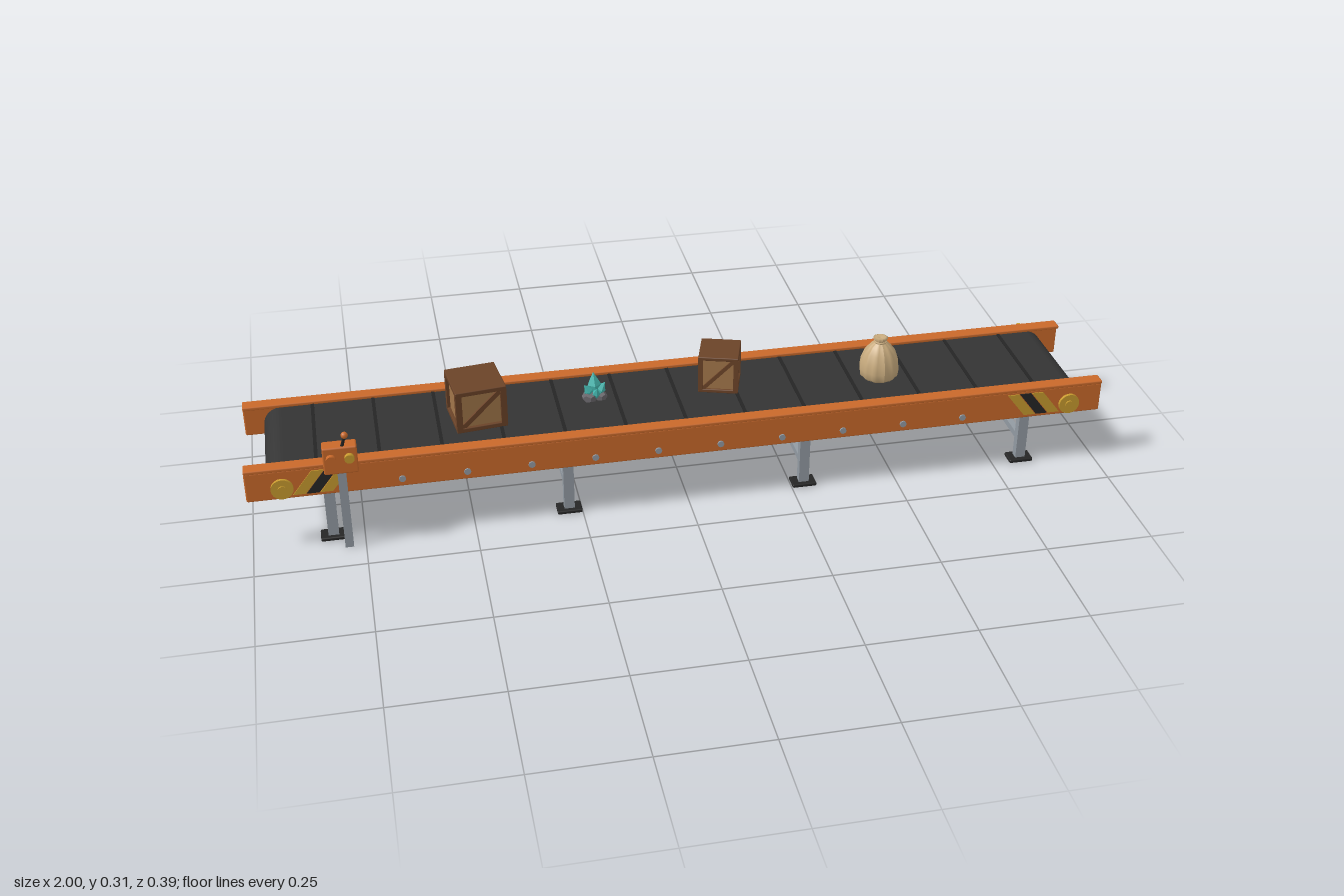
import * as THREE from 'three';
import { RoundedBoxGeometry } from 'three/addons/geometries/RoundedBoxGeometry.js';

const mat = (name, color, extra = {}) => Object.assign(new THREE.MeshStandardMaterial({ color, ...extra }), { name });

export function createModel() {
  const M = {
    orange: mat('orange paint', 0xc9692a),
    gold: mat('yellow metal', 0xc79a2e),
    belt: mat('belt rubber', 0x343434),
    black: mat('black rubber', 0x252525),
    steel: mat('steel', 0x929aa2),
    grey: mat('motor grey', 0x69666b),
    darkWood: mat('dark wood', 0x6b4328),
    wood: mat('light wood', 0xa07549),
    sack: mat('burlap', 0xc8ab7e),
    crystal: mat('teal crystal', 0x45b8b0),
  };
  const root = new THREE.Group();
  root.name = 'conveyor';

  const add = (parent, name, geo, m, x = 0, y = 0, z = 0) => {
    const mesh = new THREE.Mesh(geo, m);
    mesh.name = name;
    mesh.position.set(x, y, z);
    parent.add(mesh);
    return mesh;
  };
  const group = (name, x, y, z, ry = 0) => {
    const g = new THREE.Group();
    g.name = name;
    g.position.set(x, y, z);
    g.rotation.y = ry;
    root.add(g);
    return g;
  };
  const box = (w, h, d) => new THREE.BoxGeometry(w, h, d);
  const rbox = (w, h, d, r = 0.004) => new RoundedBoxGeometry(w, h, d, 1, r);
  const disc = (r, len, n = 20) => new THREE.CylinderGeometry(r, r, len, n).rotateX(Math.PI / 2);

  // Belt: a stadium outline pulled across the width
  const R = 0.042, end = 0.912, cy = 0.162;
  const outline = new THREE.Shape();
  outline.absarc(end, 0, R, -Math.PI / 2, Math.PI / 2);
  outline.absarc(-end, 0, R, Math.PI / 2, Math.PI * 1.5);
  outline.closePath();
  const beltGeo = new THREE.ExtrudeGeometry(outline, { depth: 0.252, bevelEnabled: false, curveSegments: 12 });
  add(root, 'belt', beltGeo.translate(0, 0, -0.126), M.belt, 0, cy, 0);
  for (let i = -6; i <= 6; i++) {
    add(root, 'beltSeam', box(0.008, 0.003, 0.25), M.black, i * 0.14, cy + R + 0.0005, 0);
  }

  // Side rails with flange, bearings, bolts and hazard stripes
  for (const s of [1, -1]) {
    add(root, 'railWeb', rbox(2, 0.074, 0.02), M.orange, 0, 0.168, s * 0.143);
    add(root, 'railFlange', rbox(2, 0.009, 0.032, 0.003), M.orange, 0, 0.2075, s * 0.139);
    for (let i = 0; i < 10; i++) {
      add(root, 'bolt', disc(0.008, 0.005, 8), M.steel, -0.656 + i * 0.1458, 0.152, s * 0.1545);
    }
    for (const e of [1, -1]) {
      add(root, 'bearing', disc(0.025, 0.031), M.gold, e * 0.92, 0.16, s * 0.1445);
      add(root, 'bearingCap', disc(0.01, 0.004, 12), M.gold, e * 0.92, 0.16, s * 0.161);
      [M.gold, M.black, M.gold].forEach((m, i) => {
        const x = 0.87 - i * 0.03, w = 0.028, lean = -0.045;
        const stripe = new THREE.Shape([[x, 0.14], [x + w, 0.14], [x + w + lean, 0.198], [x + lean, 0.198]]
          .map(([px, py]) => new THREE.Vector2(e * px, py)));
        add(root, 'hazardStripe', new THREE.ExtrudeGeometry(stripe, { depth: 0.003, bevelEnabled: false }),
          m, 0, 0, s * 0.1535 - 0.0015);
      });
    }
  }

  // Leg frames
  for (const x of [-0.82, -0.28, 0.28, 0.82]) {
    for (const s of [1, -1]) {
      add(root, 'leg', box(0.024, 0.14, 0.019), M.steel, x, 0.075, s * 0.128);
      add(root, 'foot', rbox(0.058, 0.009, 0.04, 0.003), M.black, x, 0.0055, s * 0.128);
    }
    add(root, 'crossBrace', box(0.014, 0.016, 0.24), M.steel, x, 0.058, 0);
  }

  // Control box on its post
  const control = group('controlStation', -0.787, 0, 0.169);
  add(control, 'post', box(0.019, 0.205, 0.018), M.steel, 0, 0.1025, 0);
  add(control, 'controlBox', rbox(0.076, 0.068, 0.034), M.orange, 0, 0.235, 0);
  add(control, 'leftButton', disc(0.011, 0.012, 12), M.gold, 0.02, 0.243, 0.021);
  add(control, 'rightButton', disc(0.011, 0.012, 12), M.orange, -0.02, 0.243, 0.021);
  const lever = add(control, 'lever', new THREE.CylinderGeometry(0.003, 0.004, 0.036, 8), M.black, 0.01, 0.281, 0.011);
  lever.rotation.set(0.18, 0, -0.25);
  add(control, 'leverKnob', new THREE.SphereGeometry(0.008, 12, 8), M.orange, 0.014, 0.298, 0.014);

  // Motor housing with vents
  const motor = group('motor', 0.76, 0.128, -0.171);
  add(motor, 'motorBox', rbox(0.185, 0.124, 0.04, 0.006), M.grey);
  for (let i = 0; i < 4; i++) {
    add(motor, 'vent', box(0.09, 0.007, 0.005), M.black, 0, 0.026 - i * 0.017, -0.021);
  }
  const coupling = add(motor, 'coupling', new THREE.CylinderGeometry(0.02, 0.02, 0.06, 10), M.grey, 0.085, 0, 0.018);
  coupling.rotation.z = Math.PI / 2;

  // Drive gear
  const teeth = 12, gearShape = new THREE.Shape();
  for (let i = 0; i < teeth; i++) {
    [[-0.3, 0.039], [-0.17, 0.05], [0.17, 0.05], [0.3, 0.039]].forEach(([t, r], k) => {
      const a = (i + t) / teeth * Math.PI * 2;
      gearShape[i + k ? 'lineTo' : 'moveTo'](r * Math.cos(a), r * Math.sin(a));
    });
  }
  gearShape.closePath();
  const gear = group('driveGear', 0.912, 0.154, -0.166);
  add(gear, 'gearWheel', new THREE.ExtrudeGeometry(gearShape, { depth: 0.012, bevelEnabled: false }).translate(0, 0, -0.006), M.gold);
  add(gear, 'gearHub', disc(0.015, 0.02, 16), M.gold);
  add(gear, 'gearShaft', disc(0.008, 0.04, 12), M.steel, 0, 0, 0.01);

  // Wooden crates: panels, edge frame, lid and one diagonal brace
  const crate = (x, z, w, h, ry) => {
    const g = group('crate', x, 0.205, z, ry);
    const b = w * 0.12, c = w / 2 - b / 2;
    add(g, 'cratePanels', box(w - b, h - 0.004, w - b), M.wood, 0, h / 2, 0);
    add(g, 'crateLid', rbox(w, b * 0.8, w, 0.002), M.darkWood, 0, h - b * 0.4, 0);
    add(g, 'crateBase', rbox(w, b * 0.8, w, 0.002), M.darkWood, 0, b * 0.4, 0);
    for (const sx of [1, -1]) {
      for (const sz of [1, -1]) add(g, 'cratePost', box(b, h - b, b), M.darkWood, sx * c, h / 2, sz * c);
    }
    const iw = w - 2 * b, ih = h - 1.6 * b;
    const brace = add(g, 'crateBrace', box(Math.hypot(iw, ih), b * 0.8, b * 0.7), M.darkWood, 0, h / 2, c);
    brace.rotation.z = Math.atan2(ih, iw);
  };
  crate(-0.47, 0.012, 0.118, 0.105, 0.12);
  crate(0.11, -0.028, 0.094, 0.094, -0.3);

  // Ore: rocks with crystals
  const ore = group('ore', -0.192, 0.205, -0.017);
  const flat = (g) => { const n = g.index ? g.toNonIndexed() : g; n.computeVertexNormals(); return n; };
  for (const [x, z, r] of [[-0.012, 0.008, 0.019], [0.014, 0.006, 0.016], [0, -0.014, 0.018]]) {
    add(ore, 'rock', flat(new THREE.DodecahedronGeometry(r).scale(1, 0.75, 1)), M.grey, x, r * 0.6, z);
  }
  for (const [x, z, h, rx, rz] of [[0, 0, 0.07, 0, 0.05], [-0.014, 0.006, 0.046, 0.2, 0.5],
    [0.014, 0.004, 0.048, 0.2, -0.45], [0.002, -0.016, 0.046, -0.5, 0], [0.002, 0.016, 0.04, 0.5, 0]]) {
    const pts = [[0, -0.5], [0.17, -0.3], [0.24, 0.05], [0, 0.5]].map(([r, y]) => new THREE.Vector2(r * h, y * h));
    const shard = add(ore, 'crystal', flat(new THREE.LatheGeometry(pts, 5)), M.crystal, x, h * 0.5 + 0.002, z);
    shard.rotation.set(rx, 0, rz);
  }

  // Sack: lathe with gathered folds
  const sack = group('sack', 0.49, 0.205, 0.0125);
  const profile = [[0, 0], [0.036, 0], [0.044, 0.008], [0.046, 0.025], [0.044, 0.045], [0.036, 0.068],
    [0.024, 0.084], [0.014, 0.092], [0.013, 0.096], [0.017, 0.104], [0.012, 0.106], [0, 0.102]];
  const sackGeo = new THREE.LatheGeometry(profile.map(([r, y]) => new THREE.Vector2(r, y)), 48);
  const p = sackGeo.attributes.position;
  for (let i = 0; i < p.count; i++) {
    const k = 1 + 0.035 * Math.cos(12 * Math.atan2(p.getZ(i), p.getX(i)));
    p.setX(i, p.getX(i) * k);
    p.setZ(i, p.getZ(i) * k);
  }
  sackGeo.computeVertexNormals();
  add(sack, 'sackBody', sackGeo, M.sack);
  add(sack, 'sackTie', new THREE.TorusGeometry(0.0135, 0.0025, 6, 20).rotateX(Math.PI / 2), M.sack, 0, 0.094, 0);

  return root;
}
